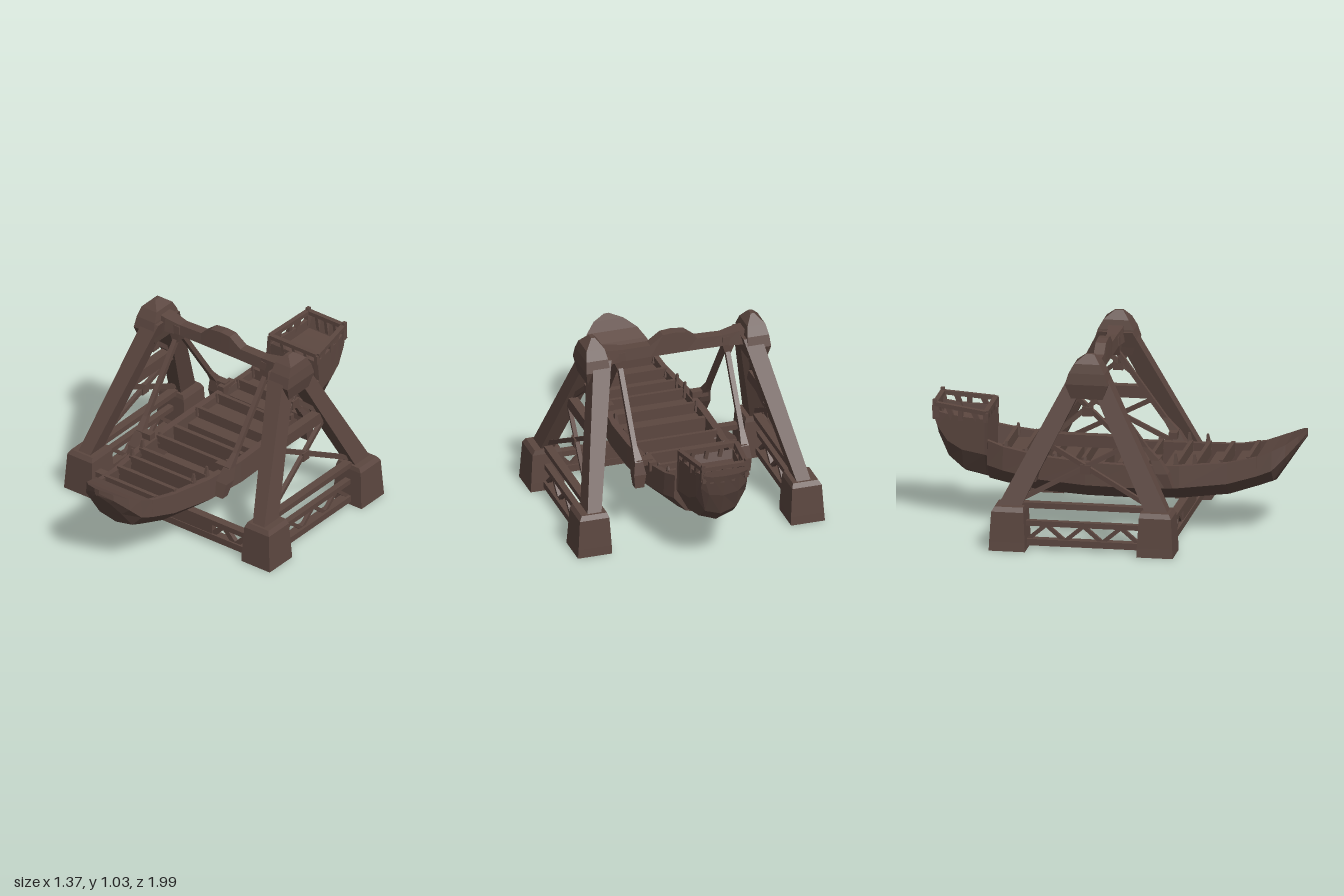
import * as THREE from 'three';

const V = (x, y, z) => new THREE.Vector3(x, y, z);

// Skin a list of equal-length closed rings, cap the ends, and face everything outward.
function loft(rings) {
  const tris = [], n = rings[0].length;
  for (let i = 0; i < rings.length - 1; i++) {
    for (let j = 0; j < n; j++) {
      const k = (j + 1) % n, a = rings[i], b = rings[i + 1];
      tris.push([a[j], a[k], b[k]], [a[j], b[k], b[j]]);
    }
  }
  const cap = (ring, flip) => {
    for (let j = 1; j < n - 1; j++) tris.push(flip ? [ring[0], ring[j + 1], ring[j]] : [ring[0], ring[j], ring[j + 1]]);
  };
  cap(rings[0], true);
  cap(rings[rings.length - 1], false);
  let volume = 0;
  for (const [a, b, c] of tris) volume += a.dot(b.clone().cross(c));
  const pos = [];
  for (const t of tris) for (const p of volume < 0 ? [t[0], t[2], t[1]] : t) pos.push(p.x, p.y, p.z);
  const g = new THREE.BufferGeometry();
  g.setAttribute('position', new THREE.Float32BufferAttribute(pos, 3));
  g.computeVertexNormals();
  return g;
}

// Horizontal rectangle centred on (x, z), half sizes hx and hz.
const rect = (x, y, z, hx, hz) => [V(x - hx, y, z - hz), V(x + hx, y, z - hz), V(x + hx, y, z + hz), V(x - hx, y, z + hz)];

export function createModel() {
  const model = new THREE.Group();
  model.name = 'swingingShipRide';
  const wood = new THREE.MeshStandardMaterial({ color: 0x5c4740 });
  wood.name = 'dark brown';

  const add = (parent, name, geometry) => {
    const m = new THREE.Mesh(geometry, wood);
    m.name = name;
    parent.add(m);
    return m;
  };
  const box = (parent, name, w, h, d, x, y, z) => add(parent, name, new THREE.BoxGeometry(w, h, d)).position.set(x, y, z);
  // Rectangular bar between two points
  const bar = (parent, name, a, b, w, d = w) => {
    const m = add(parent, name, new THREE.BoxGeometry(w, d, a.distanceTo(b)));
    m.position.copy(a).add(b).multiplyScalar(0.5);
    m.lookAt(b);
  };
  const group = (name) => {
    const g = new THREE.Group();
    g.name = name;
    model.add(g);
    return g;
  };

  // ---- Side towers ----
  const AXIS = -0.1;
  const leanX = (y) => 0.582 - 0.158 * (y - 0.23) / 0.67;
  const legZ = (y, dir) => AXIS + dir * (0.393 - 0.335 * (y - 0.23) / 0.67);
  for (const s of [1, -1]) {
    const tower = group(s > 0 ? 'leftTower' : 'rightTower');
    for (const dir of [1, -1]) {
      const fz = AXIS + dir * 0.395;
      add(tower, 'foot', loft([
        rect(s * 0.592, 0, fz, 0.094, 0.097), rect(s * 0.59, 0.05, fz, 0.092, 0.095),
        rect(s * 0.59, 0.21, fz, 0.082, 0.086), rect(s * 0.587, 0.235, fz - dir * 0.005, 0.07, 0.076)]));
      add(tower, 'leg', loft([0.22, 0.5, 0.75, 0.93].map((y) =>
        rect(s * leanX(y), y, legZ(y, dir), 0.035 + 0.016 * y, 0.066 - 0.018 * y))));
    }
    // Faceted head where the legs meet
    add(tower, 'head', loft([
      rect(s * 0.448, 0.8, AXIS, 0.05, 0.085), rect(s * 0.447, 0.88, AXIS, 0.066, 0.115),
      rect(s * 0.447, 0.94, AXIS, 0.06, 0.096), rect(s * 0.447, 0.99, AXIS, 0.05, 0.068),
      rect(s * 0.443, 1.035, AXIS + 0.01, 0.01, 0.022)]));
    // Horizontal rails
    for (const [y, h, w] of [[0.235, 0.03, 0.045], [0.578, 0.065, 0.05]]) {
      box(tower, 'towerRail', w, h, 2 * (legZ(y, 1) - AXIS), s * leanX(y), y, AXIS);
    }
    // Crossed braces with a hub
    for (const [y0, y1] of [[0.26, 0.55], [0.61, 0.81]]) {
      for (const dir of [1, -1]) {
        bar(tower, 'crossBrace', V(s * leanX(y0), y0, legZ(y0, dir) - dir * 0.04),
          V(s * leanX(y1), y1, legZ(y1, -dir) + dir * 0.03), 0.022, 0.024);
      }
      const hubY = y0 + (y1 - y0) * 0.58;
      box(tower, 'braceHub', 0.03, 0.05, 0.055, s * leanX(hubY), hubY, AXIS);
    }
    // Side base girder
    box(tower, 'baseChord', 0.05, 0.035, 0.62, s * 0.59, 0.037, AXIS);
    box(tower, 'baseChord', 0.035, 0.028, 0.62, s * 0.59, 0.138, AXIS);
    for (let i = 0; i < 6; i++) {
      const z = AXIS - 0.3 + i * 0.1, up = i % 2;
      bar(tower, 'baseLattice', V(s * 0.59, up ? 0.13 : 0.045, z), V(s * 0.59, up ? 0.045 : 0.13, z + 0.1), 0.02);
    }
  }

  // ---- Front base girder ----
  const girder = group('frontGirder');
  box(girder, 'lowerChord', 1.04, 0.038, 0.045, 0, 0.042, 0.335);
  box(girder, 'upperChord', 1.04, 0.03, 0.045, 0, 0.135, 0.335);
  box(girder, 'middlePanel', 0.4, 0.1, 0.035, 0.07, 0.085, 0.335);
  for (const [x0, x1, n] of [[-0.5, -0.12, 4], [0.26, 0.5, 3]]) {
    for (let i = 0; i < n; i++) {
      const d = (x1 - x0) / n, x = x0 + i * d, up = i % 2;
      bar(girder, 'lattice', V(x, up ? 0.13 : 0.045, 0.335), V(x + d, up ? 0.045 : 0.13, 0.335), 0.025, 0.03);
    }
  }

  // ---- Top axle with raised centre ----
  const beam = [[-0.42, 0.875, 0.965], [-0.36, 0.88, 0.957], [-0.27, 0.88, 0.94], [-0.13, 0.882, 0.945], [-0.07, 0.882, 0.992],
    [0, 0.882, 1.0], [0.06, 0.882, 0.995], [0.13, 0.882, 0.945], [0.27, 0.88, 0.945], [0.36, 0.88, 0.957], [0.42, 0.875, 0.965]];
  add(model, 'topAxle', loft(beam.map(([x, lo, hi]) => {
    const h = Math.abs(x) > 0.3 ? 0.05 : 0.035;
    return [V(x, lo, AXIS - h), V(x, lo, AXIS + h), V(x, hi, AXIS + h * 0.8), V(x, hi, AXIS - h * 0.8)];
  })));

  // ---- Hangers carrying the ship ----
  const hangers = group('hangers');
  for (const s of [1, -1]) {
    add(hangers, 'hangerClamp', loft([rect(s * 0.298, 0.83, AXIS, 0.014, 0.04), rect(s * 0.302, 0.885, AXIS, 0.034, 0.04),
      rect(s * 0.305, 0.93, AXIS, 0.034, 0.036)]));
    // rod end z, bracket foot z
    for (const [z, footZ] of [[0.235, 0.305], [-0.41, -0.425]]) {
      bar(hangers, 'hangerRod', V(s * 0.298, 0.88, AXIS), V(s * 0.298, 0.42, z), 0.026);
      add(hangers, 'hangerBracket', loft([rect(s * 0.295, 0.285, footZ, 0.025, 0.022),
        rect(s * 0.293, 0.36, (z + footZ) / 2, 0.034, 0.032),
        rect(s * 0.295, 0.43, z, 0.022, 0.025), rect(s * 0.298, 0.5, z + (AXIS - z) * 0.17, 0.013, 0.014)]));
      box(hangers, 'bracketArm', 0.09, 0.035, 0.045, s * 0.262, 0.42, z);
    }
  }

  // ---- Ship ----
  const ship = group('ship');
  // z, half width, rim height, keel height, depth of the open interior
  const stations = [
    [0.995, 0.014, 0.556, 0.515, 0], [0.96, 0.085, 0.535, 0.465, 0], [0.9, 0.145, 0.5, 0.375, 0], [0.83, 0.172, 0.468, 0.272, 0],
    [0.752, 0.186, 0.436, 0.245, 0], [0.75, 0.186, 0.435, 0.245, 0.1], [0.6, 0.212, 0.404, 0.195, 0.12],
    [0.35, 0.257, 0.388, 0.168, 0.13], [0.1, 0.275, 0.382, 0.16, 0.13], [-0.15, 0.27, 0.388, 0.16, 0.13],
    [-0.4, 0.248, 0.405, 0.17, 0.13], [-0.6, 0.214, 0.437, 0.2, 0.12], [-0.688, 0.185, 0.46, 0.213, 0.1],
    [-0.69, 0.172, 0.565, 0.213, 0], [-0.705, 0.168, 0.567, 0.216, 0.05], [-0.83, 0.15, 0.573, 0.243, 0.05],
    [-0.91, 0.138, 0.582, 0.315, 0.05], [-0.965, 0.128, 0.592, 0.45, 0.05], [-0.995, 0.122, 0.62, 0.58, 0]];
  add(ship, 'hull', loft(stations.map(([z, w, top, keel, depth]) => {
    const h = top - keel, rim = w * 0.83;
    const half = [[w * 0.63, keel + 0.11 * h], [w, keel + 0.46 * h], [w * 0.97, top], [rim, top], [rim * 0.97, top - depth]];
    return [V(0, keel, z), ...half.map(([x, y]) => V(x, y, z)), ...half.reverse().map(([x, y]) => V(-x, y, z))];
  })));

  const shipAt = (z) => {
    const i = stations.findIndex((st) => st[0] <= z), a = stations[i - 1], b = stations[i];
    const t = (a[0] - z) / (a[0] - b[0]);
    return [1, 2].map((k) => a[k] + (b[k] - a[k]) * t);
  };
  // Benches with backs, and grab posts at their ends: z, post height above the rim
  const benches = [[0.66, 0.01], [0.52, 0.01], [0.39, 0.055], [0.29, 0.06], [0.13, 0.03], [-0.12, 0.02], [-0.28, 0.02], [-0.44, 0.02], [-0.55, 0.035]];
  for (const [z, postHeight] of benches) {
    const [w, top] = shipAt(z), dir = z > 0 ? 1 : -1;
    box(ship, 'bench', w * 1.64, 0.025, 0.085, 0, top - 0.055, z);
    box(ship, 'benchFront', w * 1.64, 0.08, 0.015, 0, top - 0.09, z - dir * 0.035);
    box(ship, 'benchBack', w * 1.68, 0.075, 0.02, 0, top - 0.02, z + dir * 0.045);
    for (const s of [1, -1]) {
      add(ship, 'grabPost', loft([rect(s * w * 0.82, top - 0.03, z + dir * 0.04, 0.014, 0.018),
        rect(s * w * 0.82, top + postHeight, z + dir * 0.035, 0.005, 0.005)]));
    }
  }
  box(ship, 'middlePartition', 0.45, 0.11, 0.025, 0, 0.33, 0.03);
  for (const s of [1, -1]) box(ship, 'sideLocker', 0.04, 0.05, 0.1, s * 0.225, 0.405, -0.41);

  // Stern deck railing
  const railing = group('sternRailing');
  const front = [0.156, 0.602, -0.7], back = [0.118, 0.632, -0.978];
  const corner = (s, p) => V(s * p[0], p[1], p[2]);
  for (const s of [1, -1]) {
    bar(railing, 'sideRail', corner(s, front), corner(s, back), 0.026, 0.022);
    for (let i = 0; i <= 4; i++) {
      const p = corner(s, front).lerp(corner(s, back), i / 4);
      bar(railing, 'railPost', p, V(p.x, 0.55, p.z + (i % 2 ? 0.03 : 0.001)), 0.02, 0.026);
    }
    add(railing, 'cornerPost', loft([rect(s * 0.118, 0.56, -0.97, 0.016, 0.018), rect(s * 0.12, 0.656, -0.98, 0.009, 0.01)]));
  }
  for (const p of [front, back]) {
    bar(railing, 'crossRail', corner(-1, p), corner(1, p), 0.026, 0.022);
    for (let i = 1; i < 4; i++) {
      const x = p[0] * (i / 2 - 1);
      bar(railing, 'railPost', V(x, p[1], p[2]), V(x + 0.015, 0.54, p[2] + 0.001), 0.02);
    }
  }
  return model;
}
